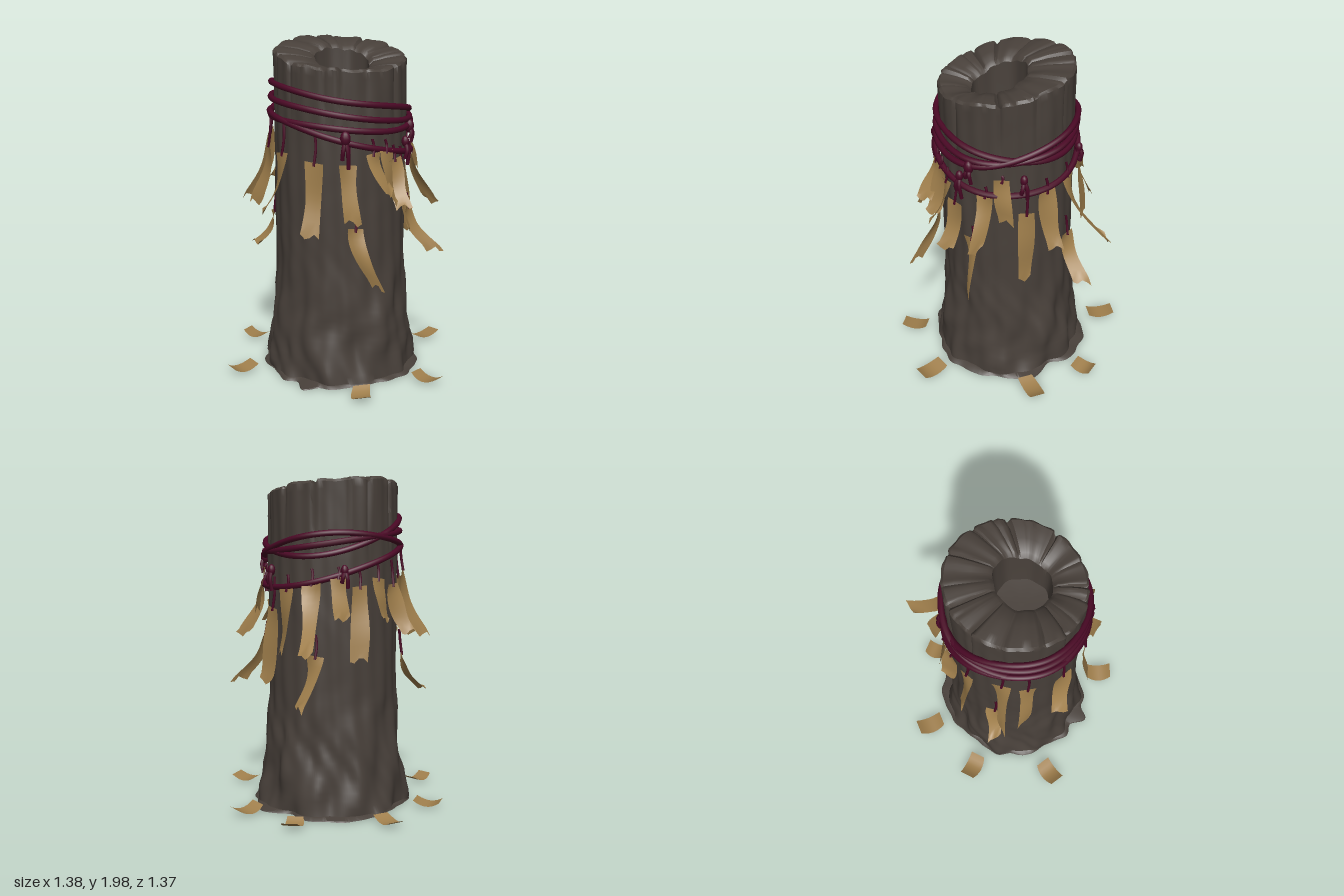
import * as THREE from 'three';
import { toCreasedNormals } from 'three/addons/utils/BufferGeometryUtils.js';

const CZ = 0.04; // trunk axis lies at x = 0, z = CZ
const DEG = Math.PI / 180;

const bark = new THREE.MeshStandardMaterial({ color: 0x48403a });
const cord = new THREE.MeshStandardMaterial({ color: 0x4a0825 });
const paper = new THREE.MeshStandardMaterial({ color: 0xa07f4c, side: THREE.DoubleSide });
bark.name = 'bark';
cord.name = 'maroonCord';
paper.name = 'tanPaper';

// Point at an angle around the trunk, 0 = front, 90 degrees = +x
const around = (a, r, y) => new THREE.Vector3(Math.sin(a) * r, y, CZ + Math.cos(a) * r);

function named(geometry, material, name) {
  const mesh = new THREE.Mesh(geometry, material);
  mesh.name = name;
  return mesh;
}

const bump = (a, centre, width) => {
  const d = Math.atan2(Math.sin(a - centre), Math.cos(a - centre)) / width;
  return Math.exp(-d * d);
};

// Irregular splits around the rim
const cracks = Array.from({ length: 17 }, (_, i) => ({
  a: (i + 0.45 * Math.sin(i * 5.1)) * Math.PI * 2 / 17,
  depth: 0.55 + 0.45 * Math.sin(i * 2.7),
}));
const crack = a => cracks.reduce((m, c) => Math.max(m, c.depth * bump(a, c.a, 0.028)), 0);

const rimHeight = a =>
  1.9 - 0.05 * Math.cos(a) - 0.035 * Math.sin(a) + 0.008 * Math.sin(a * 9) * Math.sin(a * 4 + 1);

// Bark radius: straight above, lumpy with root ridges at the foot
function barkRadius(a, y) {
  const foot = Math.pow(Math.max(0, 1 - y / 0.75), 1.6);
  const lumps = Math.sin(a * 7 + 2 * Math.sin(y * 5)) * 0.5 + Math.sin(a * 11 - y * 9 + 1) * 0.35
    + Math.sin(a * 4 + y * 13) * 0.3 + Math.sin(a * 13 + 3 * Math.sin(y * 8 + a)) * Math.sin(y * 14 + a * 3) * 0.35;
  const low = 1 - THREE.MathUtils.smoothstep(y, 0.15, 0.9);
  const groove = crack(a) * 0.02 * THREE.MathUtils.smoothstep(y, 1.4, 1.85);
  return 0.388 + 0.065 * foot + lumps * (0.003 + 0.021 * low) + 0.003 * Math.sin(a * 23 + y * 2) - groove;
}

// Flat root skirt spreading on the ground
const skirtRadius = a => barkRadius(a, 0) + 0.012 + 0.11 * bump(a, -0.19, 0.13) + 0.06 * bump(a, -2.98, 0.25)
  + 0.035 * bump(a, 1.35, 0.3) + 0.03 * bump(a, 2.3, 0.35) + 0.012 * Math.sin(a * 9);

function trunkGeometry() {
  const rows = [
    () => [0.001, 0],
    a => [skirtRadius(a), 0],
    a => [skirtRadius(a) - 0.005, 0.006],
  ];
  const steps = 44;
  for (let i = 0; i <= steps; i++) {
    rows.push(a => {
      const y = 0.015 + (rimHeight(a) - 0.015 - 0.02 * crack(a)) * i / steps;
      return [barkRadius(a, y), y];
    });
  }
  // Nearly level rim, then the hollow's wall and floor
  const hole = a => 0.16 + 0.005 * Math.sin(a * 3) + 0.003 * Math.sin(a * 8 + 2);
  rows.push(
    a => [0.374 - 0.015 * crack(a), rimHeight(a) + 0.014 - 0.04 * crack(a)],
    a => [0.33, rimHeight(a) + 0.012 - 0.04 * crack(a)],
    a => [0.26, rimHeight(a) + 0.003 - 0.03 * crack(a)],
    a => [hole(a) + 0.025, rimHeight(a) - 0.015 - 0.015 * crack(a)],
    a => [hole(a), rimHeight(a) - 0.04],
    a => [hole(a) - 0.005, 1.72],
    a => [hole(a) - 0.015, 1.6],
    () => [0.001, 1.59],
  );
  const cols = 200, pos = [], index = [];
  rows.forEach((row, i) => {
    // the hollow sits a little off the axis
    const shift = Math.max(0, Math.min(1, (i - steps - 4) / 3));
    for (let j = 0; j < cols; j++) {
      const a = j / cols * Math.PI * 2;
      const [r, y] = row(a);
      const p = around(a, r, y);
      pos.push(p.x + 0.022 * shift, p.y, p.z + 0.032 * shift);
      if (i + 1 < rows.length) {
        const k = (j + 1) % cols, b = i * cols, t = b + cols;
        index.push(b + j, b + k, t + j, b + k, t + k, t + j);
      }
    }
  });
  const geo = new THREE.BufferGeometry();
  geo.setAttribute('position', new THREE.Float32BufferAttribute(pos, 3));
  geo.setIndex(index);
  return toCreasedNormals(geo, 0.7);
}

// Cord loop given its heights at front, +x, back and -x
function cordLoop([f, r, b, l], radius) {
  const pts = [];
  for (let i = 0; i < 32; i++) {
    const a = i / 32 * Math.PI * 2;
    const y = (f + r + b + l) / 4 + (f - b) / 2 * Math.cos(a) + (r - l) / 2 * Math.sin(a)
      + (f + b - r - l) / 4 * Math.cos(2 * a);
    pts.push(around(a, radius + 0.004 * Math.sin(a * 5), y));
  }
  return new THREE.TubeGeometry(new THREE.CatmullRomCurve3(pts, true), 96, 0.018, 8, true);
}

function cordPiece(points, radius) {
  return new THREE.TubeGeometry(new THREE.CatmullRomCurve3(points), 10, radius, 6);
}

// Bent, twisting paper strip hanging from its top edge, with a torn lower end
function stripGeometry(width, length, flare, drift, seed) {
  const geo = new THREE.PlaneGeometry(width, length, 4, 10);
  const p = geo.attributes.position;
  const twist = (seed % 2 ? 1 : -1) * Math.min(1, flare / 0.12) * 0.95;
  for (let i = 0; i < p.count; i++) {
    const t = 0.5 - p.getY(i) / length;
    const x = p.getX(i) * (1 + 0.12 * Math.sin(t * 5 + seed));
    const torn = t > 0.95 ? 0.018 * Math.sin(x * 70 + seed * 3) : 0;
    const turn = twist * t * (2 - t);
    p.setXYZ(i,
      x * Math.cos(turn) + drift * t * t,
      -t * length + torn + x * 0.15 * Math.sin(seed * 2),
      flare * t * t + 0.012 * Math.sin(t * 6 + seed) * t + x * Math.sin(turn));
  }
  geo.computeVertexNormals();
  return geo;
}

// angle, top height, length, outward flare, sideways drift, cord length
const tags = [
  [-38, 1.37, 0.35, 0.08, -0.08, 0.18], [-7, 1.34, 0.42, 0.04, -0.01, 0.17],
  [19, 1.33, 0.31, 0.08, 0.02, 0.15], [39, 1.39, 0.22, 0.1, 0.07, 0.08],
  [25, 0.96, 0.31, 0.16, 0.1, 0.12], [51, 1.4, 0.3, 0.08, 0.02, 0.06],
  [60, 1.34, 0.26, 0.1, -0.03, 0.08], [70, 1.23, 0.31, 0.06, -0.02, 0.17],
  [86, 1.02, 0.28, 0.15, 0.06, 0.08], [98, 1.34, 0.31, 0.13, -0.02, 0.05],
  [111, 1.45, 0.25, 0.06, 0.03, 0.02], [130, 1.22, 0.44, 0.05, -0.02, 0.18],
  [147, 1.34, 0.36, 0.08, 0.02, 0.08], [169, 1.38, 0.38, 0.25, 0.05, 0.08],
  [172, 0.96, 0.28, 0.14, -0.06, 0.12], [-170, 1.42, 0.24, 0.07, 0.02, 0.05],
  [-153, 1.36, 0.42, 0.05, -0.02, 0.1], [-136, 1.4, 0.24, 0.06, 0.02, 0.1],
  [-118, 1.36, 0.28, 0.1, 0.03, 0.14], [-94, 0.93, 0.22, 0.11, 0.03, 0.14],
  [-88, 1.44, 0.41, 0.12, 0.02, 0.12], [-68, 1.38, 0.36, 0.08, -0.03, 0.18],
];

// x, z, turn, width, length of the fallen pieces
const fallen = [
  [-0.38, -0.47, 35, 0.11, 0.17], [0.47, -0.35, -40, 0.11, 0.18], [0.59, 0.3, 65, 0.11, 0.17],
  [-0.53, 0.4, -40, 0.11, 0.16], [0.25, 0.6, 15, 0.11, 0.16], [0.16, -0.57, -8, 0.11, 0.13],
  [-0.6, -0.11, 75, 0.11, 0.16],
];

// Knots: angle, height, tail length, size
const knots = [
  [17, 1.48, 0.17, 0.03], [76, 1.42, 0.14, 0.022], [85, 1.5, 0.1, 0.028],
  [128, 1.44, 0.12, 0.022], [-165, 1.45, 0.1, 0.022],
];

export function createModel() {
  const model = new THREE.Group();
  model.add(named(trunkGeometry(), bark, 'hollowTrunk'));

  // Cords wound around the trunk
  const ropes = new THREE.Group();
  ropes.name = 'woundCords';
  [[1.7, 1.6, 1.54, 1.73], [1.62, 1.54, 1.6, 1.66], [1.54, 1.51, 1.66, 1.58], [1.49, 1.35, 1.4, 1.57]]
    .forEach((h, i) => ropes.add(named(cordLoop(h, 0.403 + 0.004 * i), cord, 'cordLoop')));
  knots.forEach(([deg, y, tail, size]) => {
    const a = deg * DEG;
    const ball = named(new THREE.SphereGeometry(size, 12, 8), cord, 'knot');
    ball.position.copy(around(a, 0.422, y));
    ball.scale.y = 1.5;
    ropes.add(ball);
    [-1, 1].forEach(s => ropes.add(named(cordPiece([
      around(a, 0.422, y), around(a + s * 0.03, 0.44, y - tail * 0.4),
      around(a + s * 0.04, 0.43, y - tail * (0.85 + 0.15 * s)),
    ], 0.012), cord, 'knotTail')));
  });
  model.add(ropes);

  // Hanging paper strips on thin cords
  tags.forEach(([deg, y, length, flare, drift, drop], i) => {
    const a = deg * DEG, tag = new THREE.Group();
    tag.name = 'hangingStrip';
    const strip = named(stripGeometry(0.1, length, flare, drift, i + 1), paper, 'paperStrip');
    strip.position.copy(around(a, 0.425, y));
    strip.rotation.y = a;
    tag.add(strip, named(cordPiece([
      around(a, 0.41, y + drop), around(a + 0.02, 0.415, y + drop / 2), around(a, 0.428, y - 0.02),
    ], 0.008), cord, 'stripCord'));
    model.add(tag);
  });

  // Fallen paper pieces curled on the ground
  fallen.forEach(([x, z, turn, width, length], i) => {
    const geo = new THREE.PlaneGeometry(width, length, 4, 8).rotateX(-Math.PI / 2);
    const p = geo.attributes.position;
    for (let k = 0; k < p.count; k++) {
      const t = p.getZ(k) / length;
      p.setY(k, 0.012 + 0.12 * t * t + 0.1 * p.getX(k) * Math.sin(i * 2));
      p.setX(k, p.getX(k) * (1 - 0.5 * t * t) + 0.04 * t * t);
    }
    geo.computeVertexNormals();
    const piece = named(geo, paper, 'fallenPaper');
    piece.position.set(x, 0.004, z);
    piece.rotation.y = turn * DEG;
    model.add(piece);
  });
  return model;
}
